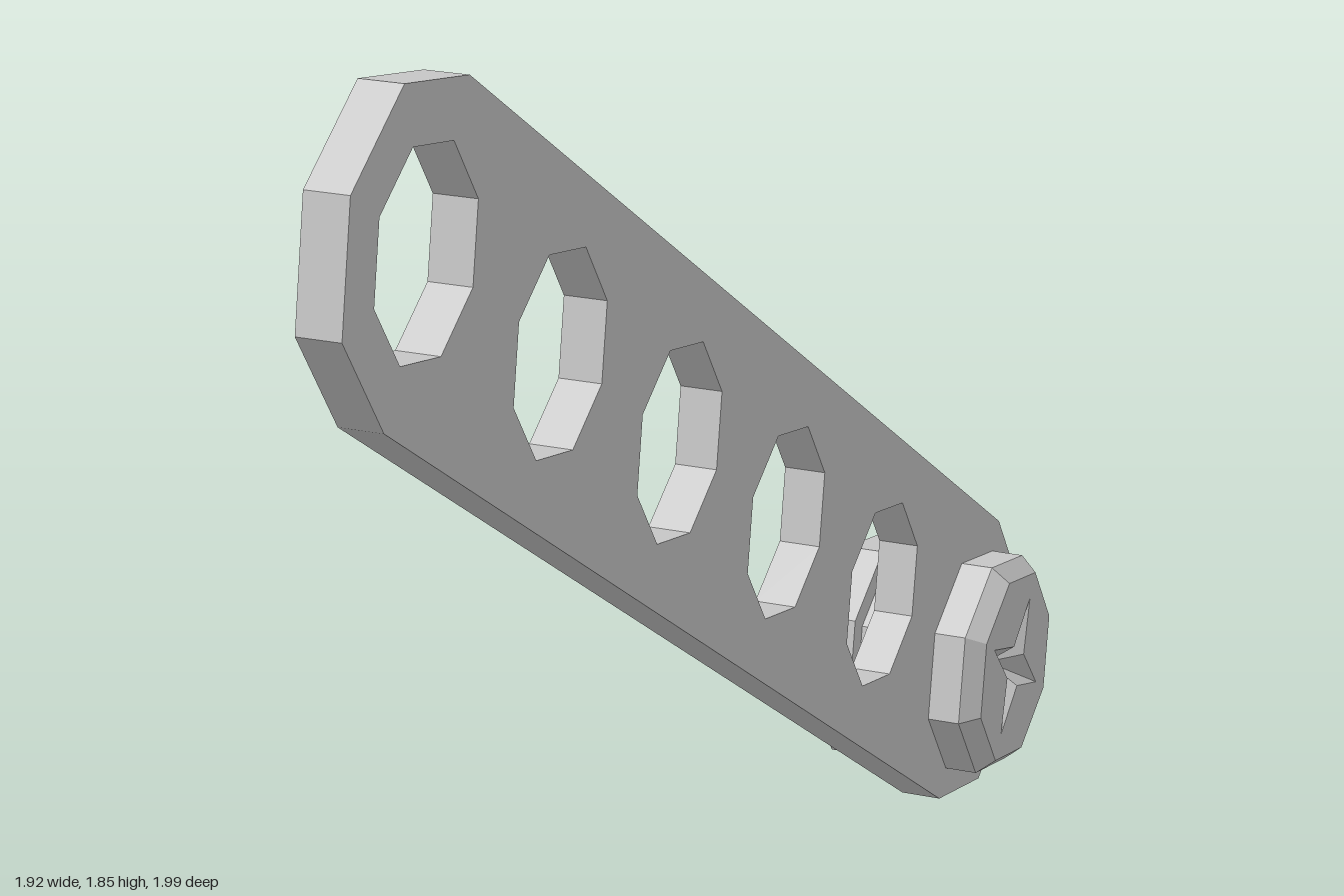
import * as THREE from 'three';

const PITCH = 0.503;            // distance between hole centres
const HOLES = 6;                // the last position holds the bolt
const BAR_R = 0.262, HOLE_R = 0.165;
const BACK = -0.016, FRONT = 0.056;

const material = new THREE.MeshStandardMaterial({ color: 0xcccccc, flatShading: true });

const polar = (r, a, cx = 0) => new THREE.Vector2(cx + r * Math.cos(a), r * Math.sin(a));
const octagon = (r, cx = 0) =>
  Array.from({ length: 8 }, (_, i) => polar(r, i * Math.PI / 4, cx));

function addMesh(parent, name, geometry) {
  const mesh = new THREE.Mesh(geometry, material);
  mesh.name = name;
  parent.add(mesh);
  return mesh;
}

// Eight-sided turned part; profile is [radius, z] from back to front
function turned(profile) {
  const points = profile.map(([r, z]) => new THREE.Vector2(r, z));
  return new THREE.LatheGeometry(points, 8).rotateX(Math.PI / 2);
}

// Flat bar with faceted round ends and a row of octagonal holes
function barGeometry() {
  const half = PITCH * (HOLES - 1) / 2;
  const outline = [];
  for (let i = 0; i <= 4; i++) outline.push(polar(BAR_R, -Math.PI / 2 + i * Math.PI / 4, half));
  for (let i = 0; i <= 4; i++) outline.push(polar(BAR_R, Math.PI / 2 + i * Math.PI / 4, -half));
  const shape = new THREE.Shape(outline);
  for (let i = 0; i < HOLES - 1; i++) {
    shape.holes.push(new THREE.Path(octagon(HOLE_R, -half + i * PITCH).reverse()));
  }
  const geometry = new THREE.ExtrudeGeometry(shape, { depth: FRONT - BACK, bevelEnabled: false });
  return geometry.translate(0, 0, BACK);
}

function createBolt() {
  const bolt = new THREE.Group();
  bolt.name = 'bolt';
  const faceZ = 0.146, faceR = 0.177;

  addMesh(bolt, 'boltHead', turned([[0, FRONT - 0.01], [0.205, FRONT - 0.01], [0.205, 0.114], [faceR, faceZ]]));
  addMesh(bolt, 'boltShaft', turned([[HOLE_R, -0.1], [HOLE_R, 0]]));
  addMesh(bolt, 'boltFlange', turned([[0, -0.168], [0.205, -0.168], [0.205, -0.098], [0, -0.098]]));
  addMesh(bolt, 'boltTip', turned([[0, -0.26], [0.1, -0.216], [0.17, -0.168]]));

  // Head face with a four-pointed drive socket sunk into it
  const star = Array.from({ length: 8 }, (_, i) => polar(i % 2 ? 0.042 : 0.128, i * Math.PI / 4));
  const face = new THREE.Shape(octagon(faceR));
  face.holes.push(new THREE.Path(star.slice().reverse()));
  addMesh(bolt, 'headFace', new THREE.ShapeGeometry(face)).position.z = faceZ;

  const corners = [];
  star.forEach((p, i) => {
    const q = star[(i + 1) % 8];
    corners.push(p.x, p.y, 0, q.x, q.y, 0, 0, 0, -0.055);
  });
  const socket = new THREE.BufferGeometry();
  socket.setAttribute('position', new THREE.Float32BufferAttribute(corners, 3));
  socket.computeVertexNormals();
  addMesh(bolt, 'driveSocket', socket).position.z = faceZ;
  return bolt;
}

export function createModel() {
  const model = new THREE.Group();
  model.name = 'boltedBar';

  // Bar and bolt slope down to the right and turn to face the front left corner
  const assembly = new THREE.Group();
  assembly.name = 'barAssembly';
  addMesh(assembly, 'bar', barGeometry());
  const bolt = createBolt();
  bolt.position.x = PITCH * (HOLES - 1) / 2;
  assembly.add(bolt);

  assembly.rotation.set(0, Math.PI / 4, THREE.MathUtils.degToRad(-32.2));
  assembly.position.set(-0.018, 0.93, 0.018);
  model.add(assembly);
  return model;
}
